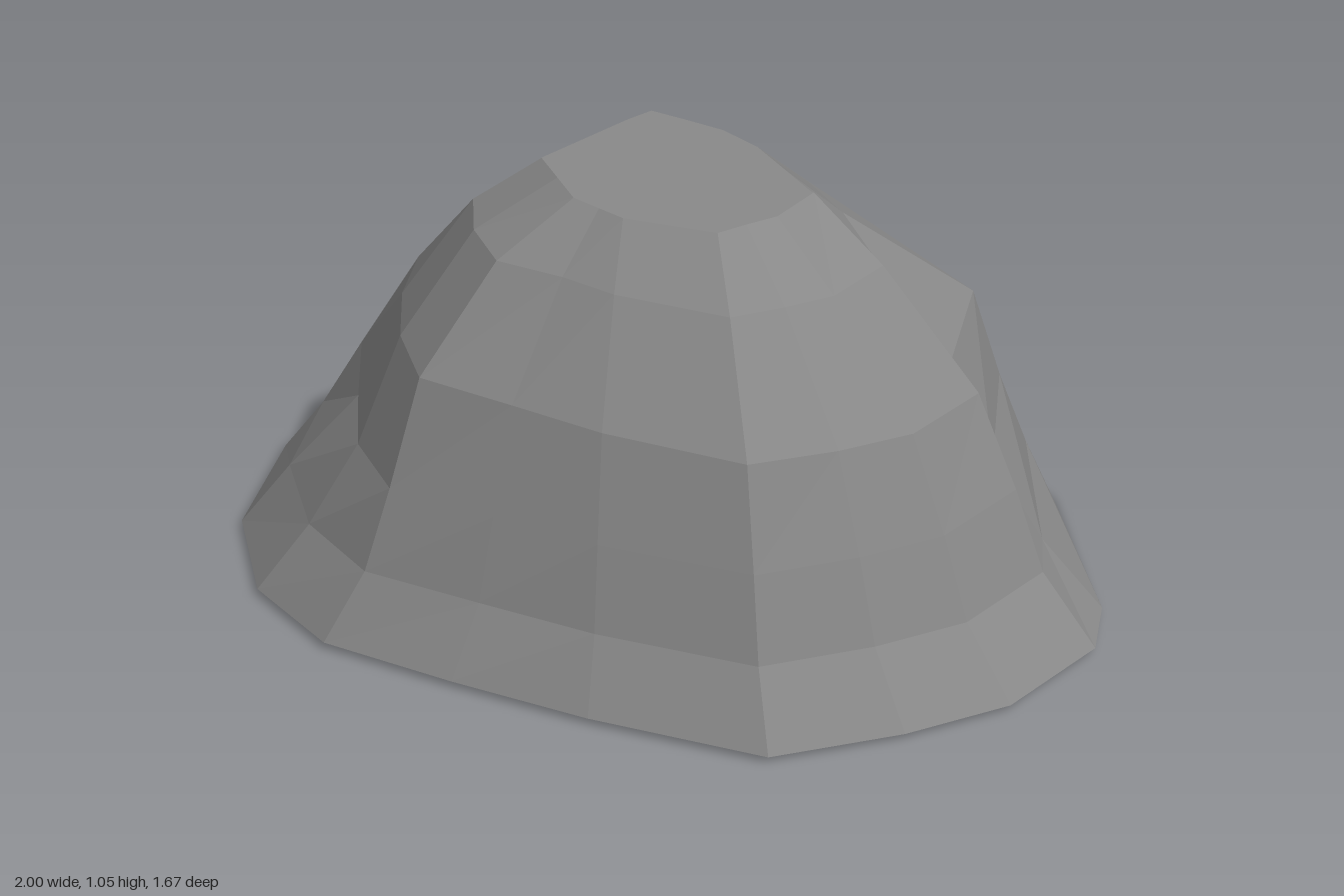
import * as THREE from 'three';

// One entry per column: rim x, rim z, plateau x, plateau z, slope profile
const COLUMNS = [
  [-0.08, -0.84, 0, -0.165, 'back'],
  [0.25, -0.84, 0.105, -0.16, 'back'],
  [0.555, -0.76, 0.21, -0.125, 'bulge'],
  [0.92, -0.44, 0.315, -0.09, 'gully'],
  [1, -0.3, 0.325, -0.09, 'even'],
  [0.985, 0, 0.335, 0.045, 'even'],
  [0.875, 0.235, 0.31, 0.12, 'even'],
  [0.705, 0.495, 0.29, 0.19, 'even'],
  [0.32, 0.65, 0.105, 0.285, 'even'],
  [0, 0.75, 0.04, 0.29, 'even'],
  [-0.32, 0.835, -0.03, 0.295, 'ridge'],
  [-0.59, 0.79, -0.115, 0.255, 'dip'],
  [-0.83, 0.62, -0.2, 0.215, 'hollow'],
  [-1, 0.32, -0.2, 0.2, 'shallow'],
  [-0.93, -0.24, -0.185, -0.05, 'shallow'],
  [-0.71, -0.52, -0.175, -0.12, 'hollow'],
  [-0.465, -0.715, -0.09, -0.143, 'hollow'],
];

// How far each ring has moved from the rim towards the plateau
const PROFILES = {
  even: [0, 0.19, 0.295, 0.435, 0.765, 1],
  back: [0, 0.11, 0.28, 0.415, 0.79, 1],
  bulge: [0, 0.12, 0.23, 0.34, 0.8, 1],
  gully: [0, 0.21, 0.385, 0.54, 0.8, 1],
  ridge: [0, 0.17, 0.28, 0.41, 0.71, 1],
  dip: [0, 0.18, 0.35, 0.5, 0.74, 1],
  hollow: [0, 0.17, 0.405, 0.56, 0.79, 1],
  shallow: [0, 0.16, 0.32, 0.545, 0.86, 1],
};

// Ring heights, and how much each ring falls towards +x
const HEIGHTS = [0.02, 0.19, 0.395, 0.655, 0.915, 1.042];
const TILTS = [0, 0, 0.006, 0.055, 0.065, 0.045];
const LOW_COLUMN = 2;

function ringPoint(ring, index) {
  const i = index % COLUMNS.length;
  const [x0, z0, x1, z1, profile] = COLUMNS[i];
  const f = PROFILES[profile][ring];
  const x = THREE.MathUtils.lerp(x0, x1, f);
  const z = THREE.MathUtils.lerp(z0, z1, f);
  const y = ring === 0 && i === LOW_COLUMN ? 0 : HEIGHTS[ring] - TILTS[ring] * x;
  return [x, y, z];
}

function meshFromTriangles(name, points, material) {
  const geometry = new THREE.BufferGeometry();
  geometry.setAttribute('position', new THREE.Float32BufferAttribute(points.flat(), 3));
  geometry.computeVertexNormals(); // unshared corners give flat facets
  const mesh = new THREE.Mesh(geometry, material);
  mesh.name = name;
  return mesh;
}

export function createModel() {
  const group = new THREE.Group();
  group.name = 'rock';
  const stone = new THREE.MeshStandardMaterial({ color: 0x888888 });
  stone.name = 'grey stone';
  stone.side = THREE.DoubleSide;
  stone.flatShading = true;

  // Faceted slopes, open underneath
  const slopes = [];
  for (let r = 0; r < HEIGHTS.length - 1; r++) {
    for (let i = 0; i < COLUMNS.length; i++) {
      const a = ringPoint(r, i), b = ringPoint(r, i + 1);
      const c = ringPoint(r + 1, i), d = ringPoint(r + 1, i + 1);
      slopes.push(b, a, c, b, c, d);
    }
  }
  group.add(meshFromTriangles('slopes', slopes, stone));

  // Flat plateau on top
  const top = HEIGHTS.length - 1;
  const centre = [0.06, HEIGHTS[top] - TILTS[top] * 0.06, 0.07];
  const plateau = [];
  for (let i = 0; i < COLUMNS.length; i++) {
    plateau.push(centre, ringPoint(top, i + 1), ringPoint(top, i));
  }
  group.add(meshFromTriangles('plateau', plateau, stone));

  return group;
}
